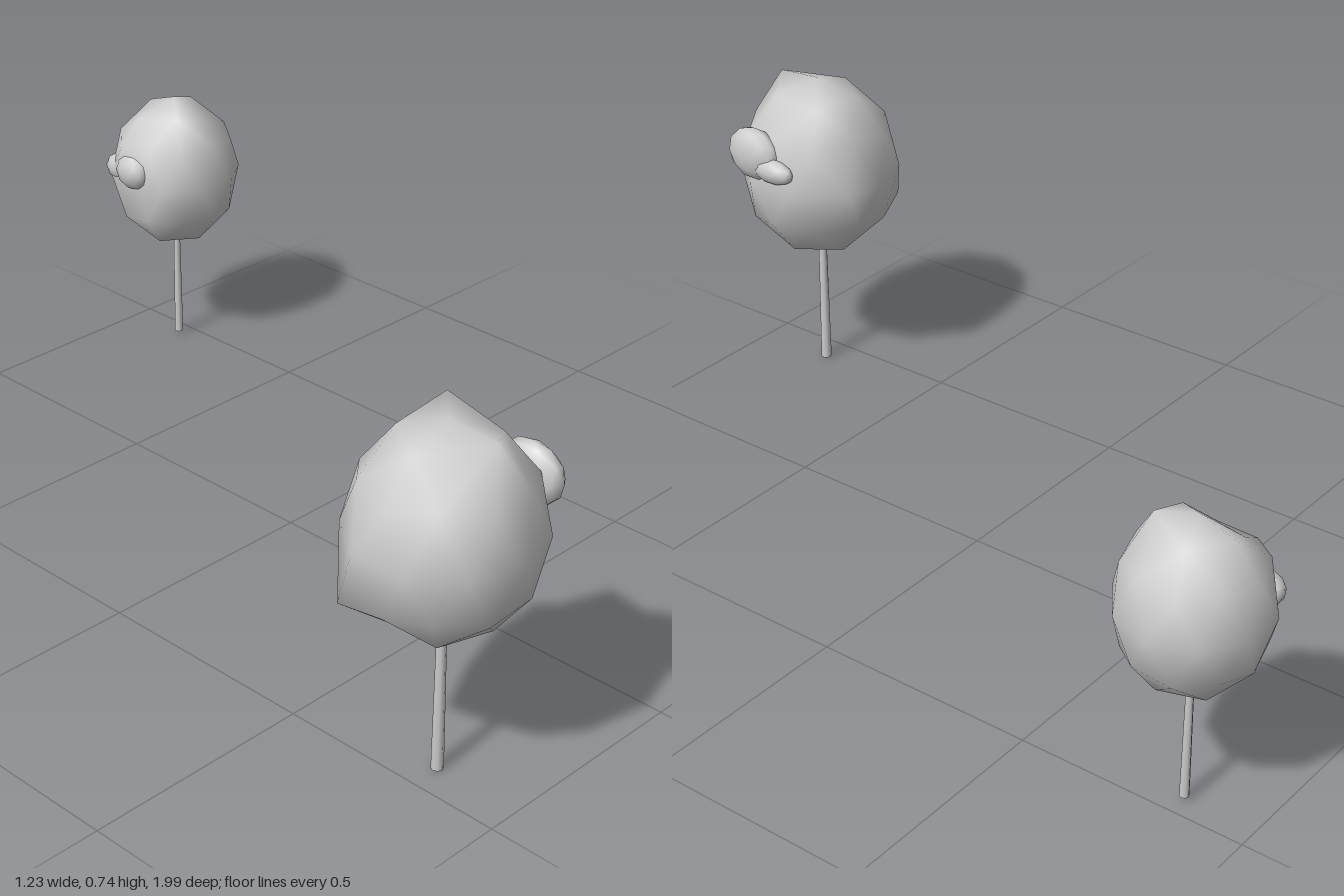
import * as THREE from 'three';
import { mergeVertices } from 'three/addons/utils/BufferGeometryUtils.js';

const material = new THREE.MeshStandardMaterial({ color: 0xcccccc });

// Faceted ball with a corner at each pole and smooth normals
function ball(radii, turn) {
  let g = new THREE.IcosahedronGeometry(1, 1);
  g.deleteAttribute('normal');
  g.deleteAttribute('uv');
  g = mergeVertices(g, 1e-4);
  g.rotateZ(-Math.atan(2 / (1 + Math.sqrt(5))));
  g.rotateY(turn);
  g.scale(...radii);
  return g;
}

// Pull the corner closest to each target onto that target
function tug(g, targets) {
  const pos = g.attributes.position;
  const v = new THREE.Vector3();
  for (const t of targets) {
    const goal = new THREE.Vector3(...t);
    let best = 0, bestDist = Infinity;
    for (let i = 0; i < pos.count; i++) {
      const d = v.fromBufferAttribute(pos, i).distanceTo(goal);
      if (d < bestDist) { bestDist = d; best = i; }
    }
    pos.setXYZ(best, ...t);
  }
}

function addMesh(parent, name, geometry, position) {
  const mesh = new THREE.Mesh(geometry, material);
  mesh.name = name;
  mesh.position.set(...position);
  parent.add(mesh);
}

function makeTree({ name, x, z, base, bottom, crownY, radii, turn, tugs, lumps, trunkRadius }) {
  const tree = new THREE.Group();
  tree.name = name;
  tree.position.set(x, 0, z);

  // Trunk runs a little way into the crown
  const top = bottom + 0.04;
  addMesh(tree, 'trunk', new THREE.CylinderGeometry(trunkRadius * 0.75, trunkRadius, top - base, 8),
    [0, (top + base) / 2, 0]);

  // Crown with a few displaced corners
  const crown = ball(radii, turn);
  tug(crown, tugs);
  crown.computeVertexNormals();
  addMesh(tree, 'crown', crown, [0, crownY, 0]);

  // Small leaf lumps on the side of the crown
  for (const { at, size } of lumps) {
    const lump = ball(size, 0);
    lump.computeVertexNormals();
    addMesh(tree, 'leafLump', lump, at);
  }
  return tree;
}

export function createModel() {
  const model = new THREE.Group();
  model.name = 'trees';
  model.add(makeTree({
    name: 'largeTree', x: -0.433, z: 0.81, base: 0, bottom: 0.3, trunkRadius: 0.0125,
    crownY: 0.52, radii: [0.19, 0.22, 0.188], turn: Math.PI,
    tugs: [[0.112, 0.01, -0.19], [0.11, 0.197, -0.1], [-0.18, -0.115, -0.09], [0, 0.212, 0.11]],
    lumps: [
      { at: [0.165, 0.59, 0.055], size: [0.035, 0.065, 0.075] },
      { at: [0.175, 0.565, -0.01], size: [0.025, 0.03, 0.06] },
    ],
  }));
  model.add(makeTree({
    name: 'smallTree', x: 0.457, z: -0.845, base: 0.01, bottom: 0.26, trunkRadius: 0.01,
    crownY: 0.447, radii: [0.157, 0.187, 0.153], turn: Math.PI / 2,
    tugs: [[-0.122, 0, 0], [-0.122, 0.095, 0.04], [-0.06, 0.13, -0.06], [0, 0.155, 0.095]],
    lumps: [
      { at: [-0.117, 0.47, -0.02], size: [0.034, 0.045, 0.05] },
      { at: [-0.1, 0.46, -0.08], size: [0.032, 0.035, 0.045] },
    ],
  }));
  return model;
}
